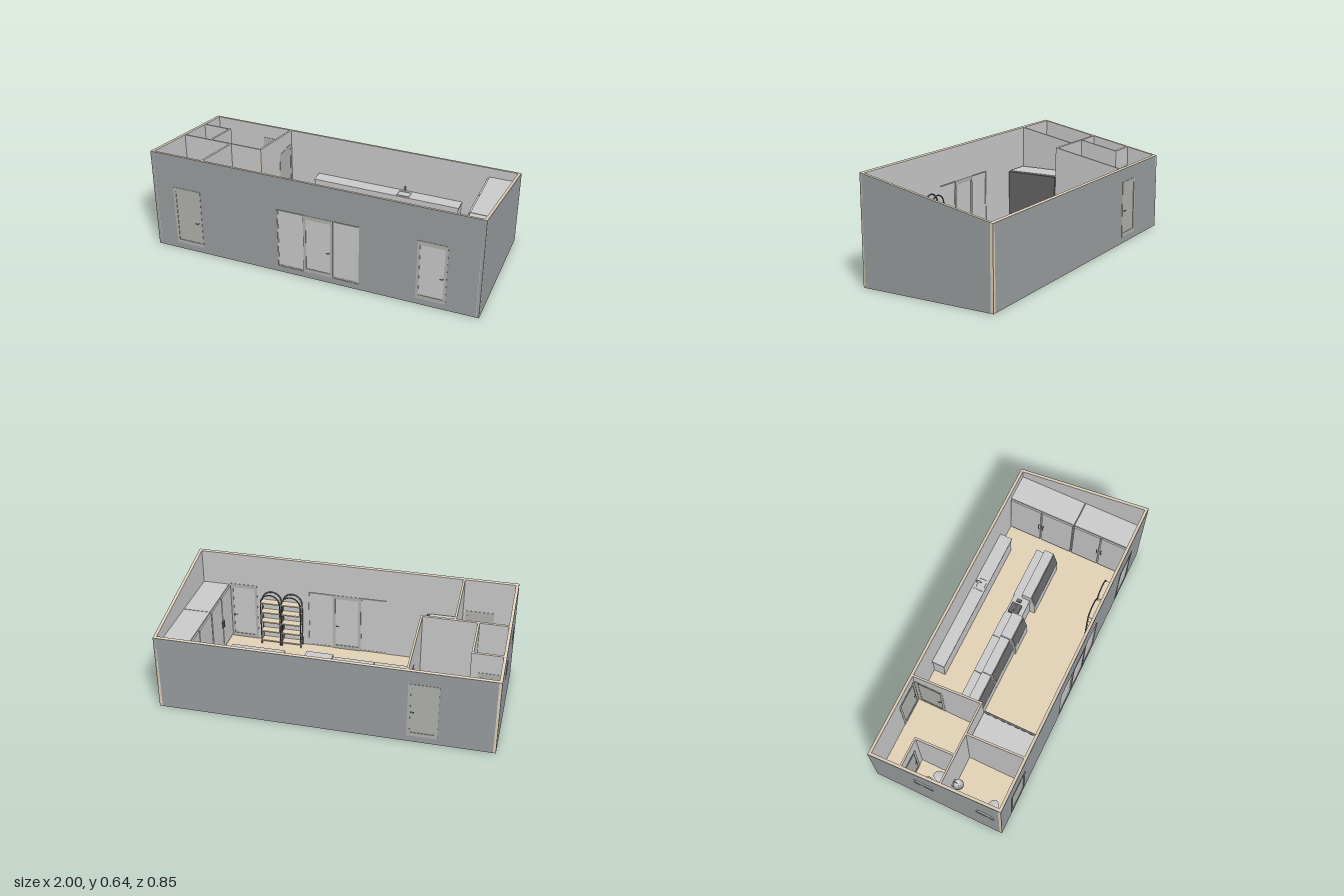
import * as THREE from 'three';

const paint = (color) => new THREE.MeshStandardMaterial({ color, side: THREE.DoubleSide });
const GREY = paint(0xcccccc), OUTER = paint(0x9a9fa1), WOOD = paint(0xe4d2b6);
const DOOR = paint(0xb2b4af), DARK = paint(0x666666);
const FLOOR = 0.04;
const roof = (z) => 0.555 + 0.2 * z; // sloping top of every wall

function add(parent, name, geo, mat = GREY) {
  const m = new THREE.Mesh(geo, mat);
  m.name = name;
  parent.add(m);
  return m;
}
function group(parent, name) {
  const g = new THREE.Group();
  g.name = name;
  parent.add(g);
  return g;
}
// box given by its limits
function box(parent, name, x0, x1, y0, y1, z0, z1, mat) {
  const m = add(parent, name, new THREE.BoxGeometry(x1 - x0, y1 - y0, z1 - z0), mat);
  m.position.set((x0 + x1) / 2, (y0 + y1) / 2, (z0 + z1) / 2);
  return m;
}
function rect(S, a, b, c, d) {
  return new S([[a, c], [b, c], [b, d], [a, d]].map((p) => new THREE.Vector2(...p)));
}
// upright slab with holes [u0, u1, y0, y1]; 'x' runs along x, 'z' runs along z
function slab(parent, name, axis, u0, u1, w0, w1, y0, holes, mat) {
  const s = rect(THREE.Shape, u0, u1, y0, 0.6);
  for (const h of holes) s.holes.push(rect(THREE.Path, ...h));
  const g = new THREE.ExtrudeGeometry(s, { depth: w1 - w0, bevelEnabled: false });
  if (axis === 'z') g.rotateY(-Math.PI / 2).translate(w1, 0, 0);
  else g.translate(0, 0, w0);
  const p = g.attributes.position;
  for (let i = 0; i < p.count; i++) if (p.getY(i) > 0.5) p.setY(i, roof(p.getZ(i)));
  g.computeVertexNormals();
  add(parent, name, g, mat);
}
// wall of a timber core between two skins
function wall(parent, name, axis, u0, u1, w0, w1, y0, holes, first = GREY, last = GREY) {
  const g = group(parent, name), t = 0.003;
  slab(g, 'firstSkin', axis, u0, u1, w0, w0 + t, y0, holes, first);
  slab(g, 'core', axis, u0, u1, w0 + t, w1 - t, y0, holes, WOOD);
  slab(g, 'lastSkin', axis, u0, u1, w1 - t, w1, y0, holes, last);
}
// frame around a panel, centred on depth w
function opening(parent, name, axis, [u0, u1, y0, y1], w, depth, o = {}) {
  const g = group(parent, name), b = o.border ?? 0.016;
  const s = rect(THREE.Shape, u0, u1, y0, y1);
  s.holes.push(rect(THREE.Path, u0 + b, u1 - b, y0 + b * 1.5, y1 - b * 1.6));
  const frame = new THREE.ExtrudeGeometry(s, { depth, bevelEnabled: false }).translate(0, 0, -depth / 2);
  add(g, 'frame', frame, o.frame ?? DOOR);
  const d = depth * 0.35;
  box(g, 'panel', u0 + b, u1 - b, y0 + b * 1.5, y1 - b * 1.6, -d, d, o.panel ?? GREY);
  if (o.handle !== undefined) {
    for (const side of [-1, 1]) {
      const z = side * (depth / 2 + 0.006);
      const c = new THREE.CatmullRomCurve3([[0, 0], [0, z], [o.lever ?? -0.018, z]]
        .map(([x, zz]) => new THREE.Vector3(o.handle + x, 0.205, zz)), false, 'catmullrom', 0.1);
      add(g, 'handle', new THREE.TubeGeometry(c, 12, 0.002, 6), DARK);
    }
  }
  if (axis === 'z') {
    g.rotation.y = -Math.PI / 2;
    g.position.x = w;
  } else g.position.z = w;
}
// counter or case from a (z, y) side profile
function profileRun(parent, name, x0, x1, pts) {
  const s = new THREE.Shape(pts.map(([z, y]) => new THREE.Vector2(-z, y)));
  const g = new THREE.ExtrudeGeometry(s, { depth: x1 - x0, bevelEnabled: false });
  return add(parent, name, g.rotateY(Math.PI / 2).translate(x0, 0, 0));
}
// toilet facing +z, its back at the origin
function toilet(parent, x, z, turn) {
  const g = group(parent, 'toilet');
  box(g, 'tank', -0.035, 0.035, 0.06, 0.145, 0, 0.035);
  const prof = [[0, 0], [0.024, 0], [0.02, 0.03], [0.032, 0.065], [0.032, 0.074], [0, 0.076]];
  const bowl = add(g, 'bowl', new THREE.LatheGeometry(prof.map((p) => new THREE.Vector2(...p)), 24));
  bowl.scale.z = 1.5;
  bowl.position.z = 0.075;
  g.position.set(x, FLOOR, z);
  g.rotation.y = turn;
}
// round basin facing +z with a tap
function basin(parent, x, z, turn) {
  const g = group(parent, 'washBasin');
  const prof = [[0, 0.115], [0.012, 0.115], [0.032, 0.155], [0.028, 0.155], [0.01, 0.125], [0, 0.125]];
  add(g, 'bowl', new THREE.LatheGeometry(prof.map((p) => new THREE.Vector2(...p)), 24)).position.z = 0.034;
  const c = new THREE.CatmullRomCurve3([[0.15, 0.006], [0.18, 0.008], [0.18, 0.024], [0.17, 0.026]]
    .map(([y, zz]) => new THREE.Vector3(0, y, zz)));
  add(g, 'tap', new THREE.TubeGeometry(c, 12, 0.003, 6));
  box(g, 'bracket', -0.02, 0.02, 0.115, 0.152, 0, 0.008);
  g.position.set(x, FLOOR, z);
  g.rotation.y = turn;
}
// arched rack with wooden shelves
function rack(parent, x0, x1) {
  const g = group(parent, 'archedShelf'), r = (x1 - x0) / 2 - 0.004, cx = (x0 + x1) / 2, spring = 0.335;
  for (const z of [0.345, 0.39]) {
    const pts = [new THREE.Vector3(cx - r, FLOOR, z), new THREE.Vector3(cx - r, 0.2, z)];
    for (let i = 0; i <= 12; i++) {
      const a = Math.PI * (1 - i / 12);
      pts.push(new THREE.Vector3(cx + r * Math.cos(a), spring + r * Math.sin(a), z));
    }
    pts.push(new THREE.Vector3(cx + r, 0.2, z), new THREE.Vector3(cx + r, FLOOR, z));
    add(g, 'archFrame', new THREE.TubeGeometry(new THREE.CatmullRomCurve3(pts), 60, 0.004, 6), DARK);
  }
  for (let i = 0; i < 5; i++) {
    const y = 0.06 + i * 0.068;
    box(g, 'shelf', cx - r, cx + r, y, y + 0.008, 0.342, 0.393, WOOD);
  }
}

export function createModel() {
  const model = new THREE.Group();
  model.name = 'cafeBuilding';

  // floor and outer walls
  box(model, 'floor', -0.982, 0.982, 0.004, FLOOR, -0.4, 0.4, WOOD);
  box(model, 'floorUnderside', -0.982, 0.982, 0.001, 0.004, -0.4, 0.4);
  const frontDoors = [[-0.87, -0.695, 0.04, 0.425], [-0.045, 0.135, 0.04, 0.425], [0.63, 0.805, 0.04, 0.425]];
  const panes = [[-0.205, -0.045, 0.04, 0.42], [0.135, 0.292, 0.04, 0.42]];
  const backDoor = [-0.667, -0.49, 0.04, 0.39];
  const smallWindows = [[-0.135, -0.01, 0.305, 0.385], [0.255, 0.37, 0.305, 0.385]];
  const entrance = [-0.205, 0.292, 0.04, 0.425];
  wall(model, 'frontWall', 'x', -1, 1, 0.397, 0.415, 0, [frontDoors[0], entrance, frontDoors[2]], GREY, OUTER);
  wall(model, 'backWall', 'x', -1, 1, -0.415, -0.397, 0, [backDoor], OUTER, GREY);
  wall(model, 'rightWall', 'z', -0.415, 0.415, -1, -0.982, 0, smallWindows, OUTER, GREY);
  wall(model, 'leftWall', 'z', -0.415, 0.415, 0.982, 1, 0, [], GREY, OUTER);

  // doors and windows
  frontDoors.forEach((d, i) => opening(model, 'frontDoor', 'x', d, 0.406, 0.022,
    { handle: d[1] - 0.022, panel: i ? GREY : DOOR }));
  panes.forEach((p) => opening(model, 'sidePane', 'x', p, 0.406, 0.012, { border: 0.004, frame: GREY }));
  opening(model, 'backDoor', 'x', backDoor, -0.406, 0.022, { handle: -0.512, panel: DOOR });
  smallWindows.forEach((p) => opening(model, 'smallWindow', 'z', p, -0.991, 0.016, { border: 0.006 }));

  // inner partitions
  const hallDoor = [-0.39, -0.215, 0.04, 0.39], washDoor = [-0.975, -0.85, 0.04, 0.39];
  const lobbyDoor = [-0.66, -0.5, 0.04, 0.39];
  wall(model, 'hallPartition', 'z', -0.397, 0.046, -0.486, -0.474, FLOOR, [hallDoor]);
  wall(model, 'crossPartition', 'x', -0.982, -0.486, 0.034, 0.046, FLOOR, []);
  wall(model, 'washroomPartition', 'x', -0.982, -0.804, -0.215, -0.203, FLOOR, [washDoor]);
  wall(model, 'washroomSide', 'z', -0.203, 0.034, -0.816, -0.804, FLOOR, []);
  wall(model, 'storePartition', 'z', 0.046, 0.397, -0.681, -0.669, FLOOR, []);
  opening(model, 'hallDoor', 'z', hallDoor, -0.48, 0.016, { handle: -0.235, panel: DOOR });
  opening(model, 'washroomDoor', 'x', washDoor, -0.209, 0.016, { handle: -0.87, panel: DOOR });

  // sanitary ware
  toilet(model, -0.875, 0.033, Math.PI);
  toilet(model, -0.981, 0.31, Math.PI / 2);
  basin(model, -0.981, -0.085, Math.PI / 2);
  basin(model, -0.885, 0.047, 0);

  // cold cabinet with a dark front
  box(model, 'coldCabinet', -0.64, -0.48, FLOOR, 0.38, 0.05, 0.385);
  box(model, 'coldCabinetFront', -0.478, -0.465, FLOOR, 0.375, 0.05, 0.385, DARK);

  // tall cupboards along the left wall
  const cup = group(model, 'tallCupboards');
  for (const [z0, z1] of [[-0.396, 0.028], [0.032, 0.396]]) {
    box(cup, 'body', 0.815, 0.981, FLOOR, 0.417, z0, z1);
    const w = (z1 - z0) / 2;
    for (let i = 0; i < 2; i++) {
      const a = z0 + i * w;
      box(cup, 'cupboardDoor', 0.804, 0.813, 0.055, 0.41, a + 0.004, a + w - 0.004);
      const hz = i ? a + 0.014 : a + w - 0.014;
      box(cup, 'pull', 0.798, 0.804, 0.2, 0.25, hz - 0.002, hz + 0.002, DARK);
    }
  }

  // serving island with sloped display fronts
  const island = group(model, 'servingIsland');
  const cases = [[-0.475, -0.225, 0, 0.25], [-0.222, 0.028, 0, 0.25], [0.03, 0.195, 0.01, 0.26], [0.327, 0.66, 0, 0.25]];
  for (const [x0, x1, zf, top] of cases) {
    profileRun(island, 'displayCase', x0, x1, [[-0.145, FLOOR], [-0.145, 0.205], [-0.09, 0.205],
      [-0.09, top], [zf - 0.03, top], [zf, 0.14], [zf, FLOOR]]);
    const t = box(island, 'slopedGlass', x0 + 0.006, x1 - 0.006, -0.052, 0.052, -0.001, 0.001, DARK);
    t.position.set((x0 + x1) / 2, (top + 0.14) / 2, zf - 0.0135);
    t.rotation.x = -Math.atan2(0.03, top - 0.14);
  }
  box(island, 'tillCounter', 0.195, 0.327, FLOOR, 0.205, -0.14, -0.035);
  box(island, 'tillBase', 0.205, 0.272, 0.205, 0.222, -0.127, -0.062, DARK);
  box(island, 'tillScreen', 0.218, 0.26, 0.222, 0.255, -0.098, -0.092);
  box(island, 'cardReader', 0.288, 0.31, 0.205, 0.213, -0.11, -0.08, DARK);

  // back counter with sink
  const back = group(model, 'backCounter');
  box(back, 'cabinets', -0.28, 0.655, FLOOR, 0.195, -0.396, -0.322);
  box(back, 'worktop', -0.285, 0.66, 0.195, 0.205, -0.397, -0.316);
  const ring = rect(THREE.Shape, 0.256, 0.34, -0.387, -0.327);
  ring.holes.push(rect(THREE.Path, 0.264, 0.332, -0.376, -0.334));
  const rim = new THREE.ExtrudeGeometry(ring, { depth: 0.004, bevelEnabled: false }).rotateX(Math.PI / 2);
  add(back, 'sinkRim', rim).position.y = 0.209;
  const spout = new THREE.CatmullRomCurve3([[0.205, -0.384], [0.24, -0.384], [0.245, -0.365], [0.23, -0.355]]
    .map(([y, z]) => new THREE.Vector3(0.298, y, z)));
  add(back, 'sinkTap', new THREE.TubeGeometry(spout, 16, 0.003, 6));

  // arched shelving by the front wall
  rack(model, 0.33, 0.463);
  rack(model, 0.465, 0.598);
  return model;
}
